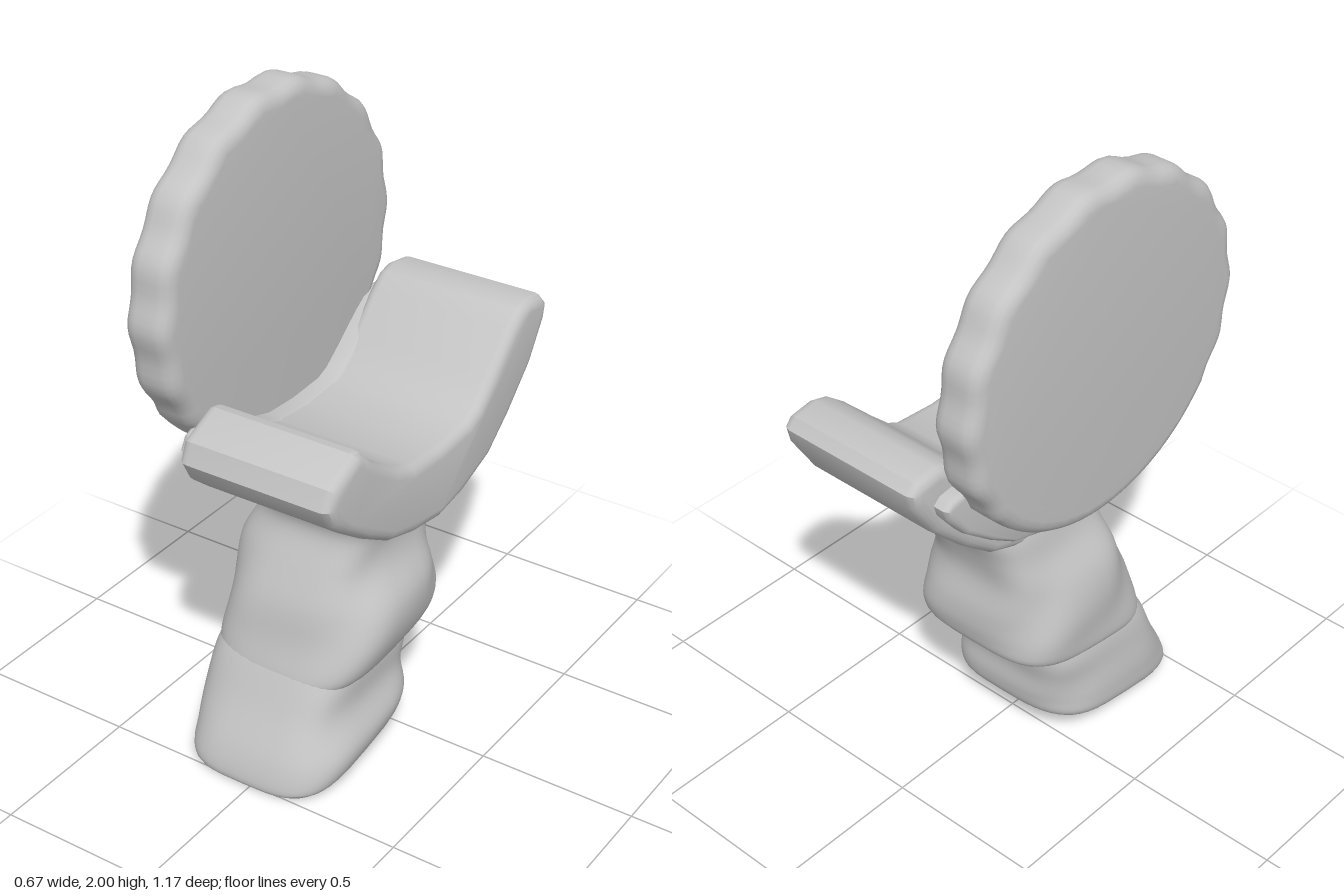
import * as THREE from 'three';
import { toCreasedNormals } from 'three/addons/utils/BufferGeometryUtils.js';

const grey = new THREE.MeshStandardMaterial({ color: 0xc4c4c4 });
grey.name = 'stone grey';

// Extrude an outline of [-z, y] points along x, with rounded rims
function slab(name, pts, x0, x1, bevel, crease) {
  const shape = new THREE.Shape(pts.map(p => new THREE.Vector2(p[0], p[1])));
  let g = new THREE.ExtrudeGeometry(shape, {
    depth: x1 - x0 - 2 * bevel, bevelEnabled: true, bevelThickness: bevel,
    bevelSize: bevel, bevelOffset: -bevel, bevelSegments: 4, steps: 1,
  });
  g.translate(0, 0, x0 + bevel);
  g.rotateY(Math.PI / 2);
  g = toCreasedNormals(g, crease);
  const m = new THREE.Mesh(g, grey);
  m.name = name;
  return m;
}

// Loft through rows [y, xMin, xMax, zBack, zFront, tilt]; tilt lifts the back edge
function loft(name, rows, power, ripple) {
  const n = 48, steps = 5, pos = [], idx = [];
  const rings = (rows.length - 1) * steps + 1;
  const at = (k, t) => {
    const i = Math.min(Math.floor(t), rows.length - 2), f = t - i;
    const r = j => rows[Math.max(0, Math.min(rows.length - 1, j))][k];
    const m0 = (r(i + 1) - r(i - 1)) / 2, m1 = (r(i + 2) - r(i)) / 2;
    const f2 = f * f, f3 = f2 * f;
    return (2 * f3 - 3 * f2 + 1) * r(i) + (f3 - 2 * f2 + f) * m0 + (3 * f2 - 2 * f3) * r(i + 1) + (f3 - f2) * m1;
  };
  for (let j = 0; j < rings; j++) {
    const [y, xa, xb, za, zb, tilt] = [0, 1, 2, 3, 4, 5].map(k => at(k, j / steps));
    for (let i = 0; i < n; i++) {
      const a = i / n * Math.PI * 2, c = Math.cos(a), s = Math.sin(a);
      const w = 1 + ripple * (Math.sin(4 * a + y * 14) - 1) * Math.sin(Math.PI * j / (rings - 1));
      const px = Math.sign(c) * Math.abs(c) ** power * w, pz = Math.sign(s) * Math.abs(s) ** power * w;
      pos.push((xa + xb) / 2 + px * (xb - xa) / 2, y + tilt * (1 - pz) / 2, (za + zb) / 2 + pz * (zb - za) / 2);
    }
  }
  for (let j = 0; j < rings - 1; j++) for (let i = 0; i < n; i++) {
    const a = j * n + i, b = j * n + (i + 1) % n;
    idx.push(a, a + n, b, b, a + n, b + n);
  }
  // End caps
  for (const j of [0, rings - 1]) {
    const o = j * n, c = pos.length / 3, mid = [0, 0, 0];
    for (let i = 0; i < n; i++) for (let k = 0; k < 3; k++) mid[k] += pos[(o + i) * 3 + k] / n;
    pos.push(...mid);
    for (let i = 0; i < n; i++) {
      const a = o + i, b = o + (i + 1) % n;
      idx.push(...(j ? [c, b, a] : [c, a, b]));
    }
  }
  let g = new THREE.BufferGeometry();
  g.setAttribute('position', new THREE.Float32BufferAttribute(pos, 3));
  g.setIndex(idx);
  g = toCreasedNormals(g, 0.9);
  const m = new THREE.Mesh(g, grey);
  m.name = name;
  return m;
}

export function createModel() {
  const model = new THREE.Group();
  model.name = 'cradleOnPedestal';

  // Upright disc with a scalloped rim
  const disc = [];
  for (let i = 0; i < 120; i++) {
    const a = i / 120 * Math.PI * 2;
    const wave = Math.sin(a) > -0.6 ? 0.007 * Math.cos(18 * a) : 0;
    disc.push([-0.025 + (0.55 + wave) * Math.cos(a), 1.462 + (0.533 + wave) * Math.sin(a)]);
  }
  model.add(slab('scallopedDisc', disc, -0.335, -0.185, 0.045, 0.9));

  // Curved cradle, rising higher at the back
  const cradle = [
    [-0.57, 1.09], [-0.54, 1.03], [-0.48, 0.98], [-0.38, 0.91], [-0.26, 0.84], [-0.14, 0.805],
    [0, 0.785], [0.12, 0.805], [0.27, 0.86], [0.38, 0.95], [0.5, 1.07], [0.575, 1.19], [0.587, 1.24],
    [0.56, 1.27], [0.48, 1.283], [0.43, 1.27], [0.38, 1.23], [0.27, 1.12], [0.2, 1.055], [0.15, 1.03],
    [0, 1.02], [-0.14, 1.03], [-0.22, 1.06], [-0.34, 1.14], [-0.4, 1.2], [-0.43, 1.205], [-0.545, 1.15],
  ];
  model.add(slab('cradle', cradle, -0.175, 0.333, 0.035, 0.6));

  // Narrow web joining cradle and disc
  const web = cradle.map(([u, y]) => [u * 0.87, 1.03 + (y - 1.03) * 0.7]);
  model.add(slab('joiningWeb', web, -0.225, -0.12, 0.02, 0.6));

  // Pedestal: leaning foot below, bulging folds above
  model.add(loft('pedestalFoot', [
    [0.0, -0.2, 0.2, 0.0, 0.5, 0.07],
    [0.02, -0.275, 0.235, -0.065, 0.525, 0.09],
    [0.1, -0.285, 0.25, -0.08, 0.5, 0.07],
    [0.22, -0.28, 0.22, -0.08, 0.435, 0.03],
    [0.34, -0.27, 0.22, -0.1, 0.375, 0],
    [0.46, -0.22, 0.19, -0.11, 0.3, 0],
  ], 0.55, 0.015));
  model.add(loft('pedestalFolds', [
    [0.28, -0.25, 0.2, -0.06, 0.375, 0.11],
    [0.33, -0.28, 0.25, -0.19, 0.382, 0.06],
    [0.43, -0.285, 0.28, -0.22, 0.355, 0.02],
    [0.54, -0.28, 0.275, -0.215, 0.325, 0],
    [0.65, -0.26, 0.235, -0.195, 0.28, 0],
    [0.75, -0.215, 0.235, -0.215, 0.24, 0],
    [0.82, -0.19, 0.26, -0.25, 0.25, 0.02],
    [0.9, -0.165, 0.27, -0.26, 0.27, 0],
  ], 0.62, 0.03));

  // Torn flaps under the foot's edge, a pinched side fold and a hanging back fold
  const spike = (name, x, y, z, r, h, rx) => {
    const m = new THREE.Mesh(new THREE.ConeGeometry(r, h, 6), grey);
    m.name = name;
    m.position.set(x, y, z);
    m.rotation.x = rx;
    model.add(m);
  };
  for (const x of [-0.24, -0.21, -0.18]) spike('tornFlap', x, 0.045, 0.4, 0.02, 0.06, Math.PI);
  spike('pinchedFold', 0.205, 0.33, 0.24, 0.035, 0.09, 2.4);
  spike('backFold', 0.1, 0.44, -0.17, 0.04, 0.1, Math.PI + 0.3);

  return model;
}
